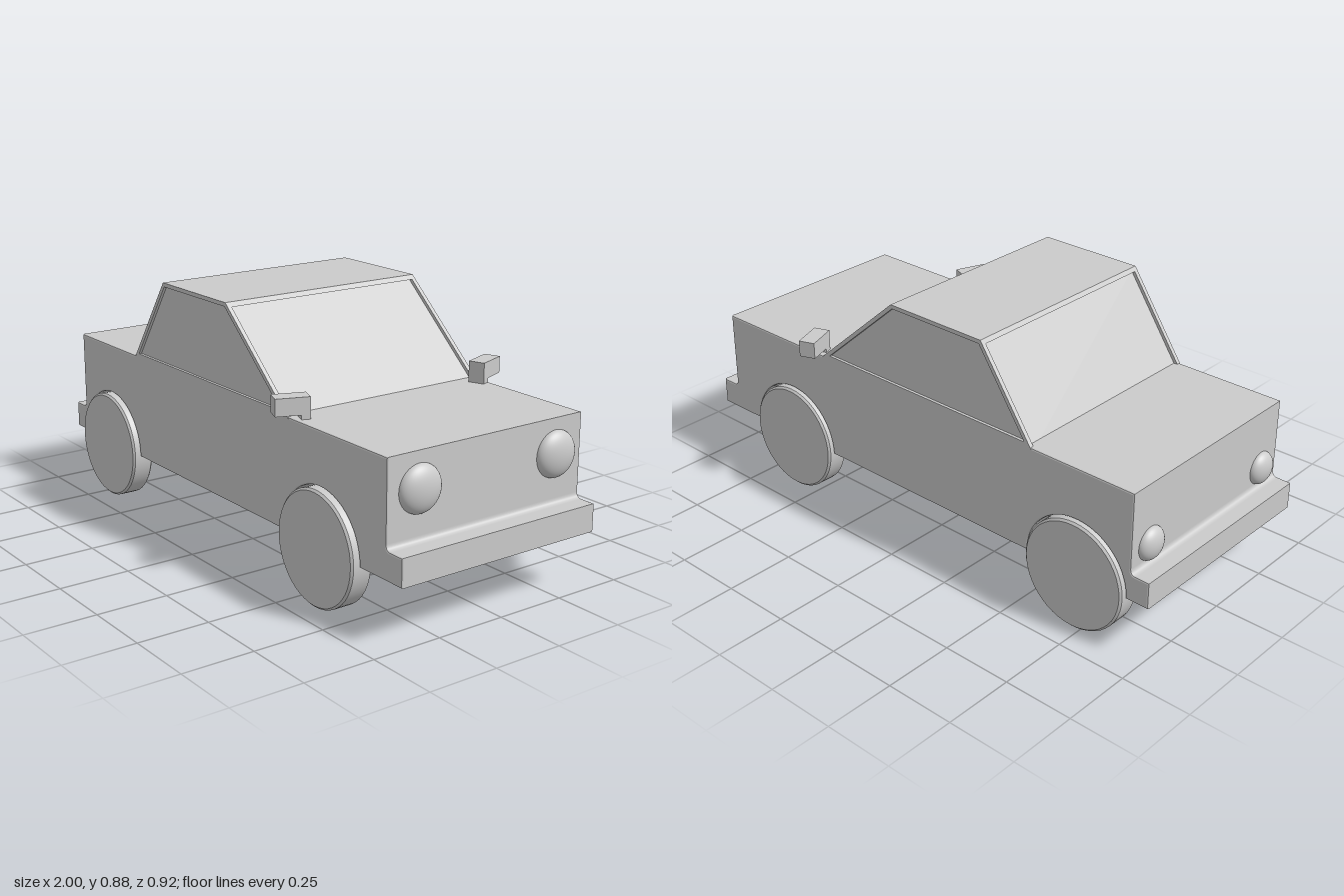
import * as THREE from 'three';

const MID = 0.006; // centre plane of the body in z
const WHEEL_X = [-0.715, 0.6];
const grey = new THREE.MeshStandardMaterial({ color: 0xcccccc });

function add(parent, name, geometry, x = 0, y = 0, z = 0) {
  const mesh = new THREE.Mesh(geometry, grey);
  mesh.name = name;
  mesh.position.set(x, y, z);
  parent.add(mesh);
  return mesh;
}

// Extrusion between two z values, with an optional bevel kept inside the outline
function slab(shape, z0, z1, bevel = 0) {
  const g = new THREE.ExtrudeGeometry(shape, {
    depth: z1 - z0 - 2 * bevel, bevelEnabled: bevel > 0, bevelSize: bevel,
    bevelThickness: bevel, bevelOffset: -bevel, bevelSegments: 2, curveSegments: 32,
  });
  return g.translate(0, 0, z0 + bevel);
}

// Side outline of the lower body, bumpers included
function bodyShape(arches) {
  const s = new THREE.Shape();
  s.moveTo(-1, 0.2);
  if (arches) {
    for (const x of WHEEL_X) {
      s.lineTo(x - 0.2, 0.2);
      s.absarc(x, 0.2, 0.2, Math.PI, 0, true);
    }
  }
  s.lineTo(1, 0.2);
  s.lineTo(1, 0.295);
  s.lineTo(0.945, 0.295);
  s.quadraticCurveTo(0.925, 0.295, 0.925, 0.315);
  s.lineTo(0.925, 0.582);
  s.lineTo(-0.93, 0.582);
  s.lineTo(-0.93, 0.315);
  s.quadraticCurveTo(-0.93, 0.295, -0.95, 0.295);
  s.lineTo(-1, 0.295);
  s.closePath();
  return s;
}

// Cabin outline, inset by d
function cabinPoints(d, bottom) {
  const top = 0.885 - d;
  const rear = (y) => -0.525 + 0.689 * (y - 0.58) + 1.214 * d;
  const front = (y) => 0.43 - 1.148 * (y - 0.58) - 1.52 * d;
  return [[rear(bottom), bottom], [front(bottom), bottom], [front(top), top], [rear(top), top]]
    .map(([x, y]) => new THREE.Vector2(x, y));
}

// Wheel: disc with softened rims, axis along z
function wheelGeometry() {
  const r = 0.195, h = 0.04, b = 0.007;
  const p = [[0, -h], [r - b, -h], [r - b, -h], [r, b - h], [r, b - h],
    [r, h - b], [r, h - b], [r - b, h], [r - b, h], [0, h]];
  return new THREE.LatheGeometry(p.map(([x, y]) => new THREE.Vector2(x, y)), 48).rotateX(Math.PI / 2);
}

export function createModel() {
  const car = new THREE.Group();
  car.name = 'car';

  // Lower body: plain core and two flanks with wheel arches
  add(car, 'bodyCore', slab(bodyShape(false), -0.33, 0.33), 0, 0, MID);
  for (const [z0, z1] of [[0.315, 0.395], [-0.395, -0.315]]) {
    add(car, 'bodyFlank', slab(bodyShape(true), z0, z1, 0.006), 0, 0, MID);
  }

  // Cabin: recessed windows inside a thin frame
  add(car, 'windows', slab(new THREE.Shape(cabinPoints(0.012, 0.56)), -0.385, 0.385), 0, 0, MID);
  const frame = new THREE.Shape(cabinPoints(0, 0.575));
  frame.holes.push(new THREE.Path(cabinPoints(0.014, 0.594)));
  for (const z0 of [-0.395, 0.38]) {
    add(car, 'windowFrame', slab(frame, z0, z0 + 0.015), 0, 0, MID);
  }
  const roof = cabinPoints(0, 0.871);
  add(car, 'roof', slab(new THREE.Shape(roof), -0.393, 0.393), 0, 0, MID);

  // Wheels
  const wheel = wheelGeometry();
  for (const x of WHEEL_X) {
    for (const side of [1, -1]) add(car, 'wheel', wheel, x, 0.2, 0.01 + side * 0.375);
  }

  // Lights: shallow domes on both ends
  const dome = new THREE.SphereGeometry(1, 40, 28);
  for (const side of [1, -1]) {
    add(car, 'headlight', dome, 0.925, 0.463, side * 0.277).scale.set(0.04, 0.079, 0.079);
    add(car, 'tailLight', dome, -0.93, 0.367, MID + side * 0.302).scale.set(0.035, 0.058, 0.058);
  }

  // Wing mirrors: angled blocks, each on a short foot at the inner end
  for (const [side, x] of [[1, 0.442], [-1, 0.457]]) {
    const mirror = new THREE.Group();
    mirror.name = 'wingMirror';
    mirror.position.set(x, 0, side * 0.398);
    mirror.rotation.y = -side * 0.36;
    add(mirror, 'mirrorHead', new THREE.BoxGeometry(0.058, 0.058, 0.115), 0, 0.626, 0);
    add(mirror, 'mirrorFoot', new THREE.BoxGeometry(0.058, 0.04, 0.03), 0, 0.59, -side * 0.0425);
    car.add(mirror);
  }
  return car;
}
